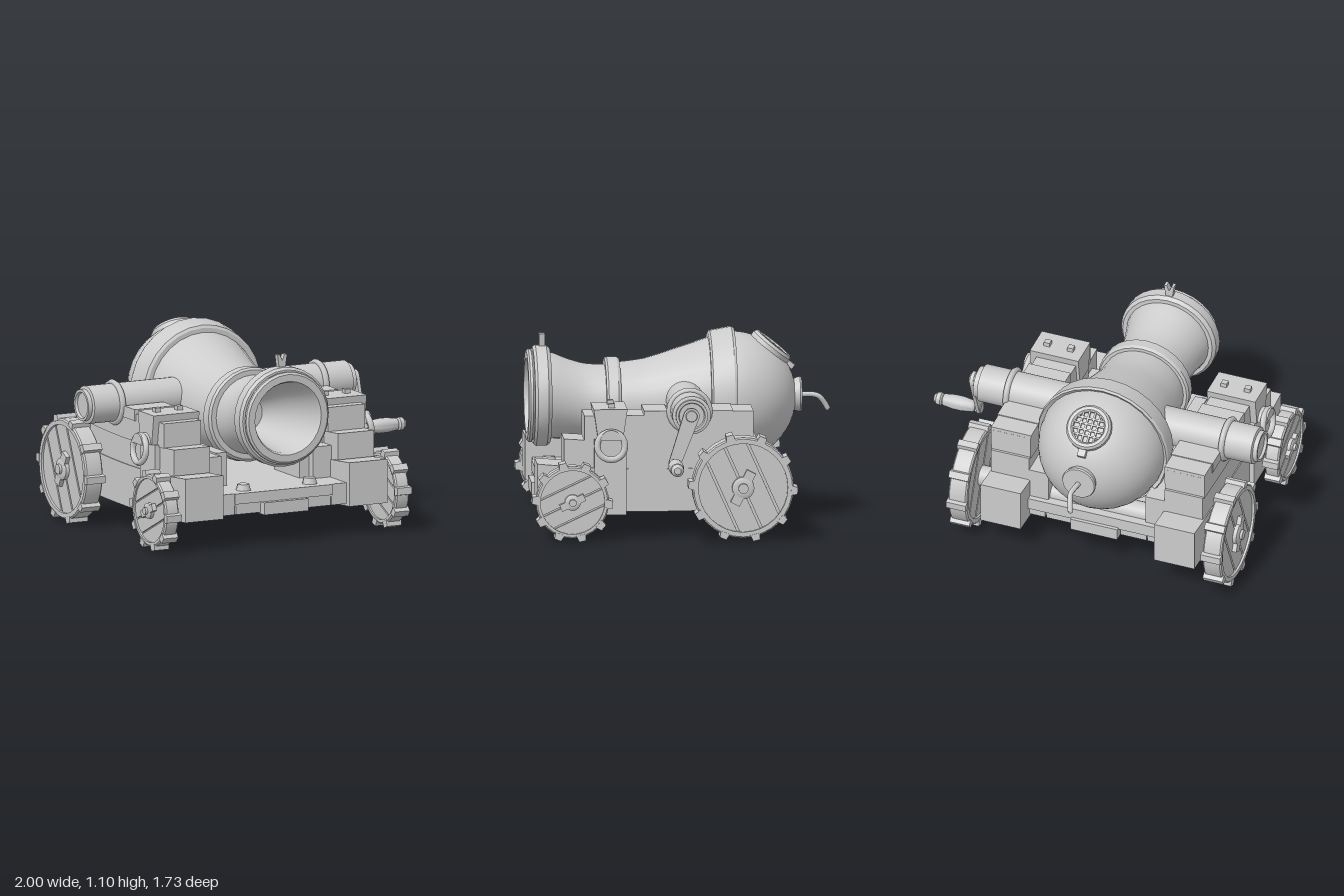
import * as THREE from 'three';
import { toCreasedNormals } from 'three/addons/utils/BufferGeometryUtils.js';

const mat = new THREE.MeshStandardMaterial({ color: 0xcccccc });
const V2 = (x, y) => new THREE.Vector2(x, y);
const V3 = (x, y, z) => new THREE.Vector3(x, y, z);

function add(parent, name, geo, x = 0, y = 0, z = 0) {
  const m = new THREE.Mesh(geo, mat);
  m.name = name;
  m.position.set(x, y, z);
  parent.add(m);
  return m;
}
const box = (p, name, w, h, d, x, y, z) => add(p, name, new THREE.BoxGeometry(w, h, d), x, y, z);

// Lathe along z from [radius, z] pairs
function turned(pts, seg = 24, crease = 0.6) {
  const g = new THREE.LatheGeometry(pts.map(p => V2(...p)), seg);
  return toCreasedNormals(g.rotateX(Math.PI / 2), crease);
}
const turnedX = (pts, seg) => turned(pts, seg).rotateY(Math.PI / 2);
const extrude = (shape, depth, bevel = 0) => new THREE.ExtrudeGeometry(shape, {
  depth, curveSegments: 10, bevelEnabled: bevel > 0, bevelSize: bevel, bevelThickness: bevel, bevelSegments: 1,
});

// Barrel axis dips in the middle: interpolate its height along z
const axis = [[-2, 0.71], [-0.3, 0.71], [-0.17, 0.705], [0, 0.69], [0.2, 0.668], [0.37, 0.664], [0.5, 0.685], [0.7, 0.722], [2, 0.727]];
function axisY(z) {
  const i = axis.findIndex(a => z <= a[0]);
  const [z0, y0] = axis[i - 1], [z1, y1] = axis[i];
  return y0 + (y1 - y0) * (z - z0) / (z1 - z0);
}

function buildBarrel(root) {
  const g = new THREE.Group();
  g.name = 'barrel';
  root.add(g);
  // Round breech, bands, flared muzzle and tapering bore as one turned profile
  const pts = [];
  for (let i = 0; i <= 14; i++) {
    const a = i / 14 * Math.PI / 2;
    pts.push([0.365 * Math.sin(a), -0.3 - 0.365 * Math.cos(a)]);
  }
  pts.push([0.385, -0.315], [0.392, -0.3], [0.375, -0.18], [0.36, -0.17], [0.335, -0.17]);
  const body = new THREE.SplineCurve([[0.335, -0.165], [0.295, 0], [0.26, 0.17], [0.243, 0.33]].map(p => V2(...p)));
  const neck = new THREE.SplineCurve([[0.225, 0.41], [0.212, 0.52], [0.222, 0.62], [0.245, 0.72]].map(p => V2(...p)));
  body.getPoints(10).forEach(p => pts.push([p.x, p.y]));
  pts.push([0.262, 0.33], [0.272, 0.345], [0.268, 0.4], [0.255, 0.412], [0.225, 0.412]);
  neck.getPoints(9).forEach(p => pts.push([p.x, p.y]));
  pts.push([0.268, 0.72], [0.284, 0.74], [0.284, 0.8], [0.27, 0.815], [0.25, 0.815], [0.262, 0.825], [0.262, 0.84],
    [0.25, 0.85], [0.21, 0.85], [0.2, 0.83], [0.15, 0.55], [0.1, 0.35], [0, 0.35]);
  const geo = new THREE.LatheGeometry(pts.map(p => V2(...p)), 28).rotateX(Math.PI / 2);
  const pos = geo.attributes.position;
  for (let i = 0; i < pos.count; i++) pos.setY(i, pos.getY(i) + axisY(pos.getZ(i)));
  add(g, 'barrelBody', toCreasedNormals(geo, 0.55));

  // Notched sight on the muzzle
  const s = new THREE.Shape([[-0.02, 0], [0.02, 0], [0.03, 0.075], [0.014, 0.075], [0, 0.04], [-0.014, 0.075], [-0.03, 0.075]].map(p => V2(...p)));
  add(g, 'sight', extrude(s, 0.035), 0, 1.0, 0.745);

  // Rear plug and fuse
  add(g, 'plug', turned([[0, -0.695], [0.095, -0.695], [0.1, -0.685], [0.088, -0.645], [0, -0.645]]), 0, 0.715);
  const fuse = new THREE.CatmullRomCurve3([V3(0, 0.71, -0.68), V3(0.005, 0.715, -0.74), V3(0.012, 0.705, -0.79), V3(0, 0.665, -0.825), V3(-0.008, 0.63, -0.845)]);
  add(g, 'fuse', new THREE.TubeGeometry(fuse, 14, 0.015, 8));
  const tip = add(g, 'fuseTip', new THREE.SphereGeometry(0.015, 8, 6), -0.008, 0.63, -0.845);
  tip.scale.z = 0.5;

  // Round barred window on the breech
  const w = new THREE.Group();
  w.name = 'window';
  w.position.set(0, 0.71, -0.3);
  w.rotation.x = Math.atan2(-0.775, -0.63);
  g.add(w);
  add(w, 'windowRing', turned([[0.09, 0.33], [0.13, 0.33], [0.13, 0.365], [0.118, 0.382], [0.1, 0.382], [0.09, 0.37], [0.09, 0.33]]));
  for (const o of [-0.05, -0.017, 0.017, 0.05]) {
    const len = 2 * Math.sqrt(0.095 ** 2 - o * o);
    box(w, 'windowBar', 0.01, len, 0.014, o, 0, 0.368);
    box(w, 'windowBar', len, 0.01, 0.014, 0, o, 0.368);
  }
  box(w, 'windowLatch', 0.045, 0.05, 0.03, 0, 0.145, 0.345);

  // Trunnion arms
  for (const sd of [-1, 1]) {
    const t = add(g, 'trunnion', turnedX([[0.108, 0.2], [0.108, 0.82], [0.09, 0.825], [0.09, 0.85], [0.075, 0.85], [0.07, 0.835], [0, 0.835]]), 0, 0.725, -0.025);
    if (sd < 0) t.rotation.y = Math.PI;
  }
}

function buildCrank(root) {
  const g = new THREE.Group();
  g.name = 'crank';
  g.position.set(0.87, 0.73, -0.02);
  root.add(g);
  add(g, 'crankShaft', turnedX([[0.04, -0.06], [0.04, 0], [0.03, 0.03], [0, 0.03]], 14));
  // Tapered arm drawn in the side plane, first axis is -z
  const len = Math.hypot(0.095, 0.27), arm = new THREE.Shape();
  arm.absarc(0, 0, 0.045, 0, Math.PI, false);
  arm.absarc(0, -len, 0.034, Math.PI, Math.PI * 2, false);
  const a = add(g, 'crankArm', extrude(arm, 0.02).rotateY(Math.PI / 2));
  a.rotation.x = -Math.atan2(0.095, 0.27);
  add(g, 'crankHandle', turnedX([[0, -0.005], [0.03, -0.005], [0.03, 0.03], [0.022, 0.035], [0.034, 0.05], [0.043, 0.11], [0.043, 0.16],
    [0.034, 0.225], [0.024, 0.23], [0.038, 0.238], [0.036, 0.262], [0.02, 0.28], [0, 0.28]], 14), 0, -0.27, 0.095);
}

// Sagging plank of the carriage side, running from z0 (rear) to z1 (front)
function cheekPlank(z0, z1, y0, y1, sag0, sag1, width) {
  const s = new THREE.Shape(), mid = (z0 + z1) / 2;
  s.moveTo(-z1, y0);
  s.quadraticCurveTo(-mid, y0 - sag0, -z0, y0);
  s.lineTo(-z0, y1);
  s.quadraticCurveTo(-mid, y1 - sag1, -z1, y1);
  return extrude(s, width).rotateY(Math.PI / 2).translate(-width / 2, 0, 0);
}

function buildCarriage(root) {
  const g = new THREE.Group();
  g.name = 'carriage';
  root.add(g);
  for (const sd of [-1, 1]) {
    const x = sd * 0.52;
    // Stacked stepped planks
    add(g, 'cheekLower', cheekPlank(-0.55, 0.83, 0.18, 0.43, 0.05, 0.07, 0.24), x);
    add(g, 'cheekMiddle', cheekPlank(-0.4, 0.68, 0.42, 0.57, 0.07, 0.04, 0.228), x);
    add(g, 'cheekUpper', cheekPlank(-0.385, 0.565, 0.56, 0.7, 0.04, 0, 0.236), x);
    box(g, 'cheekRearCap', 0.24, 0.12, 0.115, x, 0.66, -0.327);
    // Bearing seats either side of the trunnion
    const seat = new THREE.Shape([[-0.23, 0.66], [0.27, 0.66], [0.27, 0.725], [0.13, 0.725], [0.08, 0.68], [-0.06, 0.68], [-0.1, 0.725], [-0.23, 0.725]].map(p => V2(...p)));
    add(g, 'bearingSeat', extrude(seat, 0.25).rotateY(Math.PI / 2), x - 0.125);
    add(g, 'bearingCollar', new THREE.TorusGeometry(0.112, 0.018, 6, 24).rotateY(Math.PI / 2), sd * 0.645, 0.725, -0.025);
    // Strap tower with bolts
    box(g, 'tower', 0.27, 0.43, 0.18, sd * 0.53, 0.355, 0.42);
    const cap = new THREE.Shape([[-0.515, 0.74], [-0.49, 0.57], [-0.35, 0.57], [-0.325, 0.74]].map(p => V2(...p)));
    add(g, 'towerCap', extrude(cap, 0.29).rotateY(Math.PI / 2), sd * 0.53 - 0.145);
    for (const o of [-0.07, 0.07]) box(g, 'towerBolt', 0.035, 0.025, 0.035, sd * 0.53 + o, 0.752, 0.41);
    // Lifting ring and its bracket
    const ring = add(g, 'liftingRing', new THREE.TorusGeometry(0.078, 0.018, 8, 20).rotateY(Math.PI / 2), sd * 0.715, 0.54, 0.42);
    ring.rotation.z = sd * 0.12;
    const eye = new THREE.Shape();
    eye.absarc(0, 0, 0.06, 0, Math.PI, false);
    add(g, 'ringBracket', extrude(eye, 0.06).rotateY(Math.PI / 2), sd * 0.7 - 0.03, 0.57, 0.42);
    // Inner rails, chocks and deck bolts
    box(g, 'innerRail', 0.12, 0.29, 1.0, sd * 0.35, 0.345, 0.1);
    box(g, 'chock', 0.07, 0.2, 0.3, sd * 0.265, 0.4, 0.4);
    add(g, 'deckBolt', new THREE.CylinderGeometry(0.035, 0.045, 0.04, 8), sd * 0.21, 0.325, 0.71);
  }
  // Deck and its underside planks
  box(g, 'deck', 0.8, 0.07, 1.22, 0, 0.275, 0.18);
  for (let i = 0; i < 5; i++) {
    const c = i === 2;
    box(g, 'deckPlank', c ? 0.28 : 0.155, 0.07, c ? 1.28 : 1.2, [-0.385, -0.222, 0, 0.222, 0.385][i], c ? 0.215 : 0.225, 0.19);
  }
  box(g, 'deckFrontBeam', 0.62, 0.06, 0.12, 0, 0.28, 0.74);
}

// Board of a round disc between chords a and b (fractions of the radius)
function discBoard(r, a, b, depth) {
  const pts = [], A = Math.asin(a), B = Math.asin(b);
  for (let i = 0; i <= 8; i++) {
    const t = A + (B - A) * i / 8;
    pts.push(V2(r * Math.cos(t), r * Math.sin(t)));
  }
  for (let i = 8; i >= 0; i--) pts.push(V2(-pts[i].x, pts[i].y));
  return extrude(new THREE.Shape(pts), depth);
}

// Wheel about z: rim, treads, boards, hub with cross bar
function buildWheel(name, R, w, boardAngle, barAngle) {
  const g = new THREE.Group(), h = w / 2, r = R * 0.88;
  g.name = name;
  add(g, 'rim', turned([[r, -h], [R - 0.008, -h], [R, -h + 0.008], [R, h - 0.008], [R - 0.008, h], [r, h], [r, -h]], 32));
  for (let i = 0; i < 10; i++) {
    const s = new THREE.Shape([[-0.027, -0.015], [0.027, -0.015], [0.02, 0.022], [-0.02, 0.022]].map(p => V2(...p)));
    const t = (i + 0.4) / 10 * Math.PI * 2;
    const tread = add(g, 'tread', extrude(s, w + 0.008), -R * Math.sin(t), R * Math.cos(t), -h - 0.004);
    tread.rotation.z = t;
  }
  add(g, 'backing', new THREE.CylinderGeometry(r, r, w * 0.5, 32).rotateX(Math.PI / 2));
  const cuts = [-1, -0.5, 0, 0.5, 1], gap = 0.025;
  for (let i = 0; i < 4; i++) {
    const a = Math.max(-1, cuts[i] + gap), b = Math.min(1, cuts[i + 1] - gap);
    const m = add(g, 'board', discBoard(r, i ? a : -1, i < 3 ? b : 1, w * 0.76), 0, 0, -w * 0.38);
    m.rotation.z = boardAngle;
  }
  const bar = box(g, 'hubBar', R * 0.72, R * 0.2, 0.03, 0, 0, h * 0.76 + 0.01);
  bar.rotation.z = barAngle;
  const k = R * 0.2;
  add(g, 'hub', turned([[k * 1.1, 0], [k * 1.1, h + 0.008], [k * 0.8, h + 0.016], [k * 0.5, h + 0.016], [k * 0.5, h + 0.03], [0, h + 0.03]], 16));
  return g;
}

export function createModel() {
  const model = new THREE.Group();
  model.name = 'cannon';
  // Gun and carriage share a middle line left of the origin because of the crank
  const root = new THREE.Group();
  root.name = 'gun';
  root.position.x = -0.15;
  model.add(root);
  buildBarrel(root);
  buildCrank(root);
  buildCarriage(root);
  for (const sd of [-1, 1]) {
    const front = buildWheel('frontWheel', 0.205, 0.085, 0.44, 0.44);
    front.position.set(sd * 0.73, 0.23, 0.64);
    const rear = buildWheel('rearWheel', 0.285, 0.11, -1.15, 1.1);
    rear.position.set(sd * 0.762, 0.31, -0.315);
    for (const w of [front, rear]) {
      w.rotation.y = sd * Math.PI / 2;
      root.add(w);
    }
  }
  // Axles
  add(root, 'frontAxle', new THREE.CylinderGeometry(0.042, 0.042, 1.46, 16).rotateZ(Math.PI / 2), 0, 0.23, 0.64);
  add(root, 'rearAxle', new THREE.CylinderGeometry(0.06, 0.06, 1.5, 16).rotateZ(Math.PI / 2), 0, 0.31, -0.32);
  return model;
}
